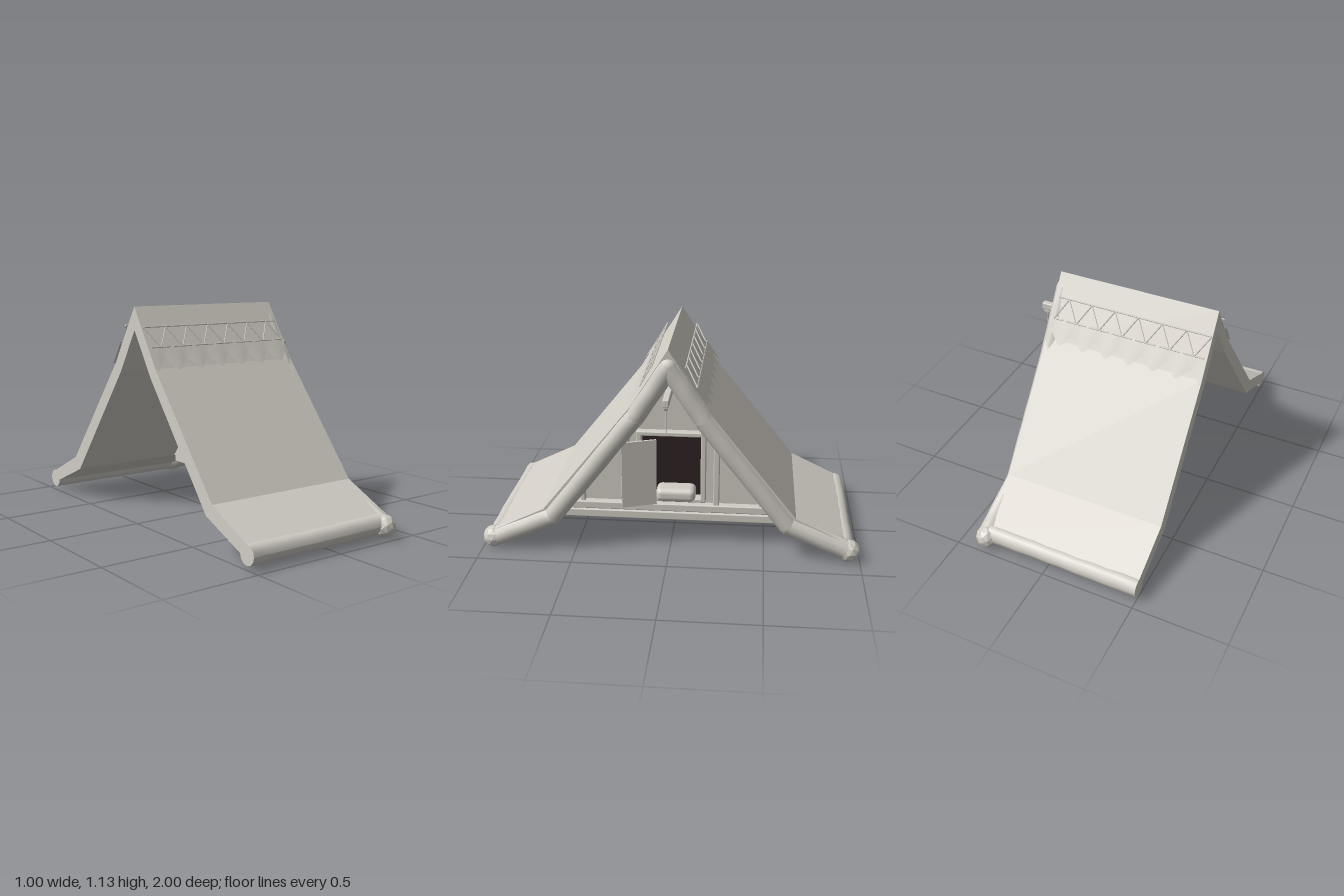
import * as THREE from 'three';
import { RoundedBoxGeometry } from 'three/addons/geometries/RoundedBoxGeometry.js';

const stone = new THREE.MeshStandardMaterial({ color: 0xd1cdc5, side: THREE.DoubleSide });
stone.name = 'pale plaster';
const dark = new THREE.MeshStandardMaterial({ color: 0x2e2323, side: THREE.DoubleSide });
dark.name = 'dark opening';

const V = (x, y, z) => new THREE.Vector3(x, y, z);
const UP = V(0, 1, 0);

function add(parent, name, geometry, material = stone) {
  const mesh = new THREE.Mesh(geometry, material);
  mesh.name = name;
  parent.add(mesh);
  return mesh;
}

// Softened timber given by its limits on each axis
function timber(parent, name, [x0, x1], [y0, y1], [z0, z1]) {
  const mesh = add(parent, name, new RoundedBoxGeometry(x1 - x0, y1 - y0, z1 - z0, 2, 0.006));
  mesh.position.set((x0 + x1) / 2, (y0 + y1) / 2, (z0 + z1) / 2);
}

// Cylinder from a to b; wobble makes it an uneven log
function rod(parent, name, a, b, r, sides = 6, wobble = 0) {
  const dir = b.clone().sub(a);
  const length = dir.length();
  const geo = new THREE.CylinderGeometry(r, r, length, sides, wobble ? 10 : 1);
  if (wobble) {
    const p = geo.attributes.position;
    for (let i = 0; i < p.count; i++) {
      const t = p.getY(i) * 22, angle = Math.atan2(p.getZ(i), p.getX(i));
      const k = 1 + wobble * Math.sin(t + 2 * Math.sin(angle)) * Math.cos(t * 0.6 + 1);
      p.setX(i, p.getX(i) * k);
      p.setZ(i, p.getZ(i) * k);
    }
    geo.computeVertexNormals();
  }
  const mesh = add(parent, name, geo);
  mesh.position.copy(a).add(b).multiplyScalar(0.5);
  mesh.quaternion.setFromUnitVectors(UP, dir.normalize());
}

// Profile in (z, y) swept along x; symmetric in z
function sweep(shape, x0, x1) {
  return new THREE.ExtrudeGeometry(shape, { depth: x1 - x0, bevelEnabled: false })
    .rotateY(Math.PI / 2).translate(x0, 0, 0);
}

const mirrored = (half) => half.concat(
  half.filter(([z]) => z !== 0).reverse().map(([z, y]) => [-z, y]));
const toShape = (pts) => new THREE.Shape(pts.map(([z, y]) => new THREE.Vector2(z, y)));

function buildRoof() {
  const roof = new THREE.Group();
  roof.name = 'roof';
  const outer = mirrored([[0.955, 0.1], [0.66, 0.243], [0.19, 0.83], [0, 1.13]]);
  const inner = mirrored([[0.945, 0.035], [0.612, 0.18], [0.145, 0.78], [0, 1.01]]);
  add(roof, 'roofShell', sweep(toShape(outer.concat(inner.reverse())), -0.5, 0.38));

  for (const s of [1, -1]) {
    // Rounded gable edge: bent log with a knobbed foot
    const path = [V(0.355, 1.035, 0), V(0.355, 0.765, s * 0.176), V(0.355, 0.198, s * 0.618), V(0.355, 0.06, s * 0.935)];
    for (let i = 0; i < 3; i++) {
      rod(roof, 'gableLog', path[i], path[i + 1], 0.053, 12, 0.03);
      add(roof, 'gableLogJoint', new THREE.SphereGeometry(0.053, 12, 8)).position.copy(path[i]);
    }
    const foot = new THREE.IcosahedronGeometry(0.06, 1);
    foot.computeVertexNormals(); // faceted
    add(roof, 'gableLogFoot', foot).position.set(0.353, 0.06, s * 0.94);

    // Rolled eave
    rod(roof, 'eaveLog', V(-0.5, 0.07, s * 0.92), V(0.34, 0.07, s * 0.92), 0.05, 12, 0.06);
  }
  return roof;
}

// Lattice and scalloped ridge cover on one slope
const PITCH = 0.1315;
function buildRidgeTrim(s) {
  const trim = new THREE.Group();
  trim.name = 'ridgeTrim';
  const slopeZ = (y) => 0.085 + (1.03 - y) * 0.6;
  const at = (x, y) => V(x, y, s * slopeZ(y));

  rod(trim, 'upperRail', at(-0.5, 1.03), at(0.35, 1.03), 0.004);
  for (let i = 0; i < 7; i++) {
    const x = -0.5 + i * PITCH, low = x + PITCH / 2;
    rod(trim, 'latticeRod', at(x, 1.03), at(low, 0.93), 0.004);
    if (low + PITCH / 2 < 0.36) rod(trim, 'latticeRod', at(low, 0.93), at(low + PITCH / 2, 1.03), 0.0025);
    rod(trim, 'lowerRail', at(Math.max(-0.5, low - 0.057), 0.932), at(Math.min(0.35, low + 0.057), 0.932), 0.004);
  }

  const cover = new THREE.PlaneGeometry(0.855, 1, 78, 4);
  const p = cover.attributes.position;
  for (let i = 0; i < p.count; i++) {
    const x = p.getX(i) - 0.0725, v = 0.5 - p.getY(i);
    const wave = Math.cos(((x + 0.5) / PITCH) * Math.PI * 2);
    const y = 0.94 - v * (0.095 + 0.024 * wave);
    p.setXYZ(i, x, y, s * (slopeZ(y) + v * 0.003 * (1 + wave)));
  }
  cover.computeVertexNormals();
  add(trim, 'scallopedCover', cover);
  return trim;
}

function buildGable() {
  const gable = new THREE.Group();
  gable.name = 'gable';

  // Wall with a window opening
  const wall = toShape(mirrored([[0.63, 0.18], [0.155, 0.79], [0, 1.03]]));
  wall.holes.push(toShape([[-0.165, 0.255], [-0.165, 0.61], [0.165, 0.61], [0.165, 0.255]]));
  add(gable, 'wall', sweep(wall, 0.15, 0.18));
  const opening = add(gable, 'windowOpening', new THREE.BoxGeometry(0.006, 0.365, 0.34), dark);
  opening.position.set(0.155, 0.4325, 0);

  // Base boards
  timber(gable, 'baseBoard', [0.185, 0.225], [0.13, 0.175], [-0.655, 0.655]);
  timber(gable, 'baseRail', [0.17, 0.22], [0.178, 0.22], [-0.61, 0.61]);

  for (const s of [1, -1]) {
    timber(gable, 'tallPost', [0.17, 0.21], [0.21, 0.66], [s * 0.24 - 0.016, s * 0.24 + 0.016]);
    timber(gable, 'shortPost', [0.17, 0.21], [0.21, 0.35], [s * 0.48 - 0.013, s * 0.48 + 0.013]);
    timber(gable, 'windowJamb', [0.17, 0.22], [0.237, 0.635], [s * 0.17 - 0.014, s * 0.17 + 0.014]);
    rod(gable, 'apexTrim', V(0.19, 0.97, 0), V(0.19, 0.76, s * 0.145), 0.014);
  }
  timber(gable, 'windowHead', [0.17, 0.22], [0.61, 0.635], [-0.184, 0.184]);
  timber(gable, 'windowSill', [0.17, 0.22], [0.235, 0.257], [-0.184, 0.184]);

  // Half-open shutter and the bundle on the sill
  const shutter = add(gable, 'shutter', new THREE.BoxGeometry(0.012, 0.365, 0.185));
  shutter.position.set(0.305, 0.4325, 0.16);
  shutter.rotation.y = 0.34;
  const bundle = add(gable, 'sillBundle', new RoundedBoxGeometry(0.12, 0.075, 0.21, 3, 0.03));
  bundle.position.set(0.215, 0.293, -0.027);
  return gable;
}

function buildHoist() {
  const hoist = new THREE.Group();
  hoist.name = 'hoist';
  timber(hoist, 'hoistBeam', [0.15, 0.5], [0.873, 0.912], [-0.016, 0.016]);
  const wheel = add(hoist, 'pulley', new THREE.CylinderGeometry(0.02, 0.02, 0.014, 14).rotateX(Math.PI / 2));
  wheel.position.set(0.478, 0.871, 0);
  rod(hoist, 'rope', V(0.478, 0.73, 0), V(0.478, 0.87, 0), 0.0025);
  return hoist;
}

export function createModel() {
  const model = new THREE.Group();
  model.name = 'gabledRoof';
  model.add(buildRoof(), buildRidgeTrim(1), buildRidgeTrim(-1), buildGable(), buildHoist());
  return model;
}
